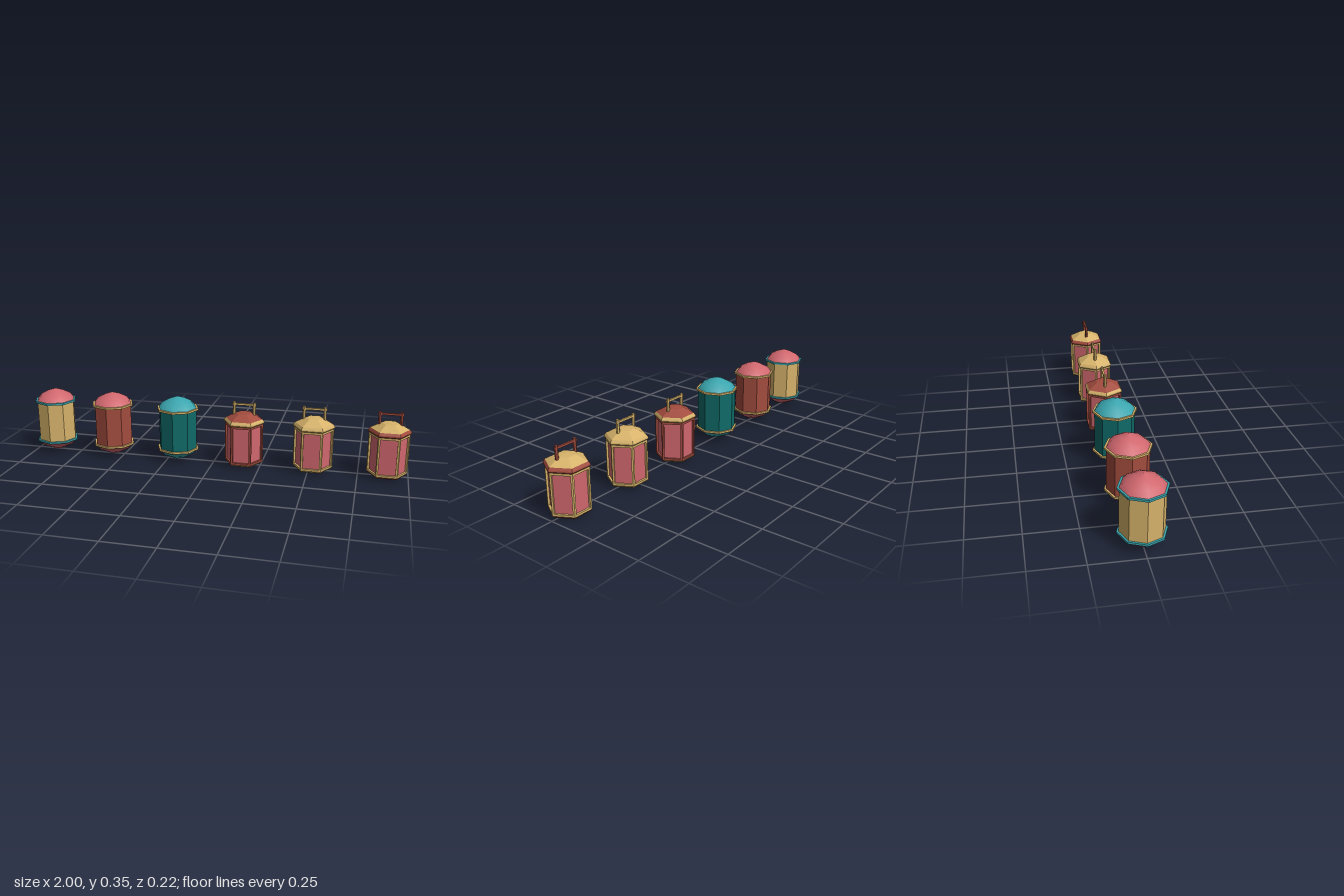
import * as THREE from 'three';

const mat = (name, color) => {
  const m = new THREE.MeshStandardMaterial({ color });
  m.name = name;
  return m;
};

export function createModel() {
  const gold = mat('gold', 0xd6b26a);
  const pink = mat('pink', 0xd0676e);
  const red = mat('brick red', 0xa24c3e);
  const teal = mat('light teal', 0x3aa5ae);
  const darkTeal = mat('dark teal', 0x0f6a68);

  const root = new THREE.Group();
  root.name = 'lanterns';

  const add = (parent, name, geometry, material) => {
    const mesh = new THREE.Mesh(geometry, material);
    mesh.name = name;
    parent.add(mesh);
    return mesh;
  };

  // Surface turned from [radius, y] points (bottom to top) with a few flat sides
  const turned = (points, sides, smooth = false) => {
    const g = new THREE.LatheGeometry(points.map(([r, y]) => new THREE.Vector2(r, y)), sides);
    if (smooth) return g;
    const flat = g.toNonIndexed();
    flat.computeVertexNormals();
    return flat;
  };
  // Six-sided version with corners on the x axis
  const hex = (points) => turned(points, 6).rotateY(Math.PI / 6);

  // Eight-sided paper lantern with domed ends
  const dome = [[0.102, 0.287], [0.081, 0.3125], [0.04, 0.334], [0, 0.347]];
  const underside = dome.map(([r, y]) => [r, 0.347 - y]).reverse();
  function roundLantern(x, domeMat, bodyMat, bandMat) {
    const g = new THREE.Group();
    g.name = 'roundLantern';
    g.position.x = x;
    add(g, 'body', turned([[0.102, 0.06], [0.102, 0.287]], 8), bodyMat);
    add(g, 'topDome', turned(dome, 8, true), domeMat);
    add(g, 'bottomDome', turned(underside, 8, true), domeMat);
    for (const [name, y] of [['topBand', 0.277], ['bottomBand', 0.06]]) {
      add(g, name, turned([[0.09, y], [0.112, y], [0.112, y + 0.01], [0.09, y + 0.01]], 8), bandMat);
    }
    root.add(g);
  }

  // Window frame for one side of the hexagon, extruded around a hole
  const R = 0.101, apothem = R * Math.cos(Math.PI / 6), depth = 0.01;
  const rect = (path, w, y0, y1) => path
    .moveTo(-w, y0).lineTo(w, y0).lineTo(w, y1).lineTo(-w, y1).closePath();
  const frameShape = rect(new THREE.Shape(), R / 2, 0.022, 0.23);
  frameShape.holes.push(rect(new THREE.Path(), R / 2 - 0.009, 0.032, 0.217));
  const frameGeo = new THREE.ExtrudeGeometry(frameShape, { depth, bevelEnabled: false });
  frameGeo.translate(0, 0, apothem - depth);

  // Hexagonal lantern with glass sides, roof and carrying handle
  function hexLantern(x, roofMat, frameMat, trimMat) {
    const g = new THREE.Group();
    g.name = 'hexLantern';
    g.position.x = x;
    const glassR = (apothem - depth) / Math.cos(Math.PI / 6);
    add(g, 'glass', hex([[glassR, 0.022], [glassR, 0.23]]), pink);
    for (let i = 0; i < 6; i++) {
      add(g, 'windowFrame', frameGeo, frameMat).rotation.y = i * Math.PI / 3;
    }
    add(g, 'baseTrim', hex([[0.094, 0.0135], [R, 0.022], [0.08, 0.022]]), trimMat);
    add(g, 'floor', hex([[0, 0.0135], [0.094, 0.0135]]), gold);
    add(g, 'eave', hex([[0.08, 0.228], [R, 0.228], [0.107, 0.234], [0.105, 0.241], [0.097, 0.252], [0, 0.252]]), trimMat);
    add(g, 'roof', hex([[0.097, 0.252], [0.044, 0.28], [0, 0.283]]), roofMat);

    // Handle: two posts and a crossbar poking through them
    for (const side of [-1, 1]) {
      const post = new THREE.CylinderGeometry(0.0085, 0.0085, 0.07, 6).toNonIndexed();
      post.computeVertexNormals();
      add(g, 'handlePost', post, trimMat).position.set(side * 0.052, 0.302, 0);
    }
    add(g, 'handleBar', new THREE.BoxGeometry(0.124, 0.01, 0.01), trimMat).position.y = 0.325;
    root.add(g);
  }

  roundLantern(-0.888, pink, gold, teal);
  roundLantern(-0.558, pink, red, gold);
  roundLantern(-0.196, teal, darkTeal, gold);
  hexLantern(0.16, red, red, gold);
  hexLantern(0.52, gold, gold, gold);
  hexLantern(0.893, gold, gold, red);

  return root;
}
